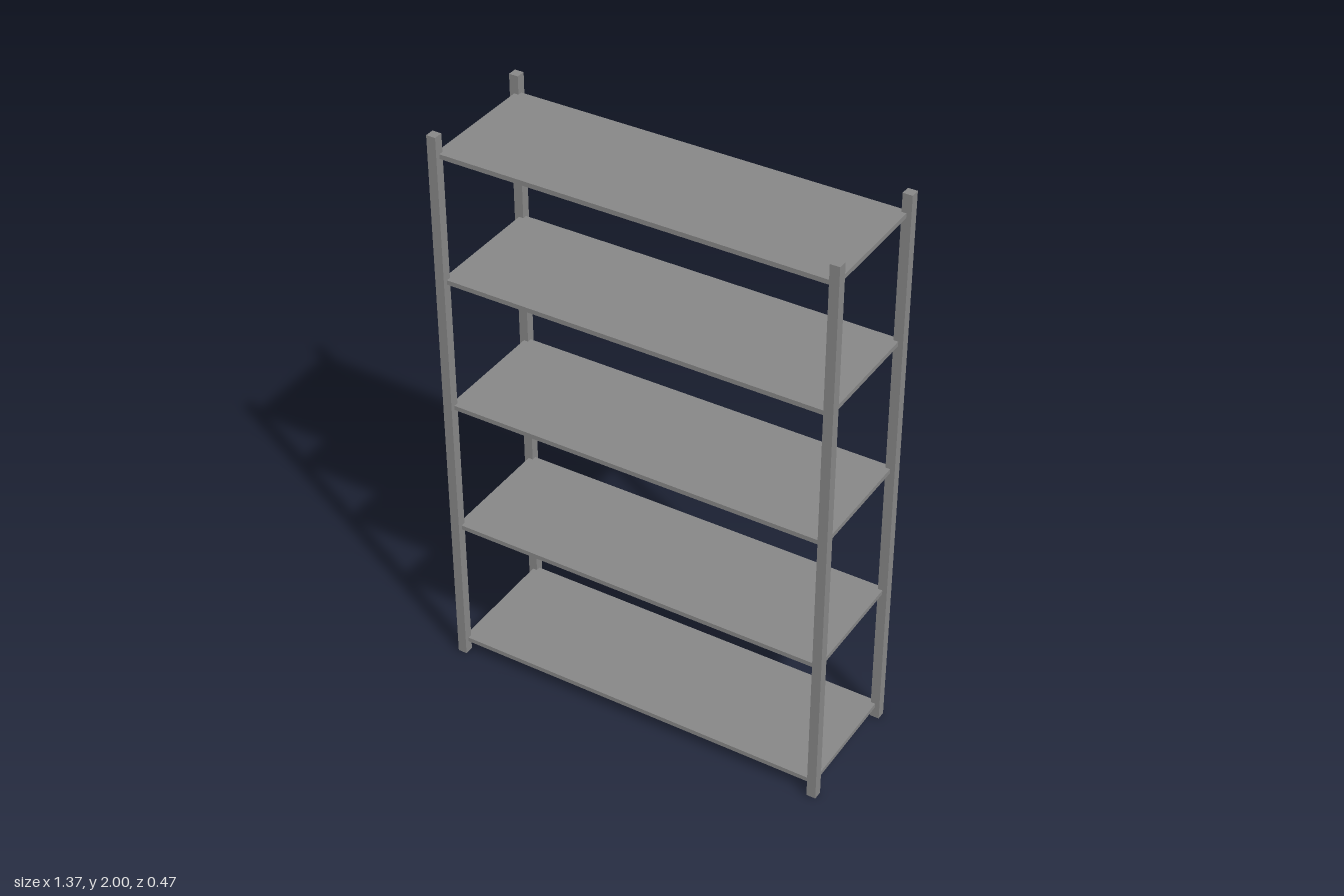
import * as THREE from 'three';

export function createModel() {
  const group = new THREE.Group();
  const material = new THREE.MeshStandardMaterial({ color: 0x878787 });
  const halfX = 0.671, halfZ = 0.217, post = 0.032, thickness = 0.016;

  // Four square corner posts
  const postGeometry = new THREE.BoxGeometry(post, 2, post);
  for (const x of [-1, 1]) {
    for (const z of [-1, 1]) {
      const mesh = new THREE.Mesh(postGeometry, material);
      mesh.name = `${z > 0 ? 'front' : 'back'}${x > 0 ? 'Left' : 'Right'}Post`;
      mesh.position.set(x * halfX, 1, z * halfZ);
      group.add(mesh);
    }
  }

  // Five thin shelves reaching to the post centres
  const shelfGeometry = new THREE.BoxGeometry(halfX * 2, thickness, halfZ * 2);
  [0.05, 0.533, 1.015, 1.487, 1.929].forEach((y, i) => {
    const mesh = new THREE.Mesh(shelfGeometry, material);
    mesh.name = `shelf${i + 1}`;
    mesh.position.y = y;
    group.add(mesh);
  });

  return group;
}
